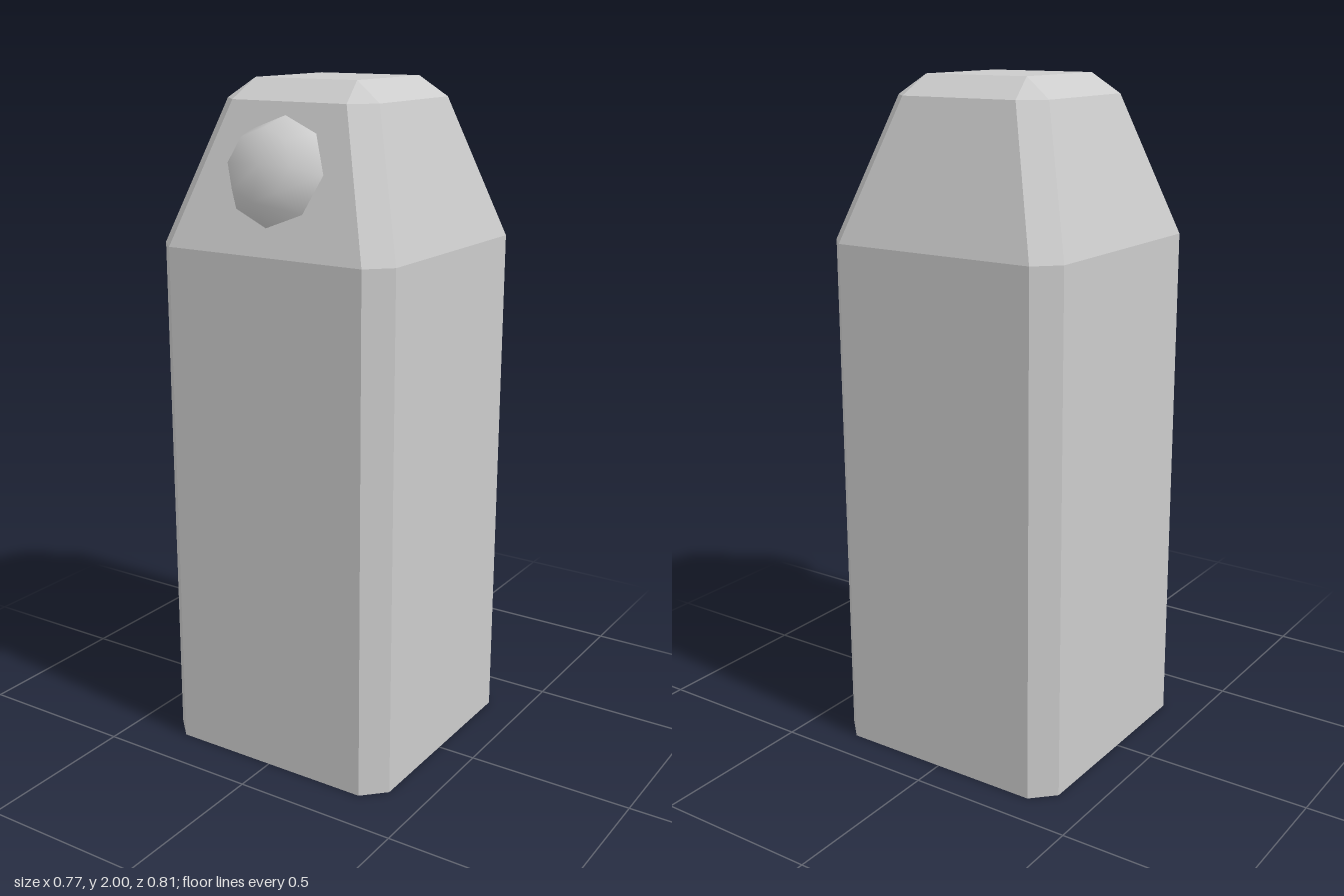
import * as THREE from 'three';

// Chamfered square outline: a = half width, b = half length of the straight side
function ring(a, b, y) {
  return [[-b, a], [b, a], [a, b], [a, -b], [b, -a], [-b, -a], [-a, -b], [-a, b]]
    .map(([x, z]) => new THREE.Vector3(x, y, z));
}

// Flat-faced solid through a stack of outlines, closed at both ends
function loft(rings) {
  const points = [];
  const tri = (a, b, c) => {
    const t = new THREE.Triangle(a, b, c);
    if (t.getArea() > 1e-8) points.push(a, b, c);
  };
  const n = rings[0].length;
  for (let k = 0; k < rings.length - 1; k++) {
    for (let i = 0; i < n; i++) {
      const j = (i + 1) % n;
      const [lo, hi] = [rings[k], rings[k + 1]];
      tri(lo[i], lo[j], hi[j]);
      tri(lo[i], hi[j], hi[i]);
    }
  }
  const bottom = rings[0], top = rings[rings.length - 1];
  for (let i = 1; i < n - 1; i++) {
    tri(bottom[0], bottom[i + 1], bottom[i]);
    tri(top[0], top[i], top[i + 1]);
  }
  const geometry = new THREE.BufferGeometry().setFromPoints(points);
  geometry.computeVertexNormals();
  return geometry;
}

export function createModel() {
  const group = new THREE.Group();
  const bodyZ = -0.018;

  // Post with chamfered corners, sloping shoulders and a bevelled top
  const post = new THREE.Mesh(
    loft([
      ring(0.384, 0.319, 0),
      ring(0.384, 0.319, 1.54),
      ring(0.25, 0.187, 1.943),
      ring(0.167, 0.167, 2),
    ]),
    new THREE.MeshStandardMaterial({ color: 0xcccccc, flatShading: true })
  );
  post.name = 'post';
  post.position.z = bodyZ;
  group.add(post);

  // Eight-sided knob set square to the sloping front face
  const profile = [[0.154, 0], [0.101, 0.083], [0, 0.083]].map(([r, y]) => new THREE.Vector2(r, y));
  const knob = new THREE.Mesh(
    new THREE.LatheGeometry(profile, 8),
    new THREE.MeshStandardMaterial({ color: 0xcccccc })
  );
  knob.name = 'frontKnob';
  knob.position.set(0, 1.762, 0.293);
  knob.rotation.x = Math.PI / 2 - Math.atan2(0.134, 0.403);
  group.add(knob);

  return group;
}
